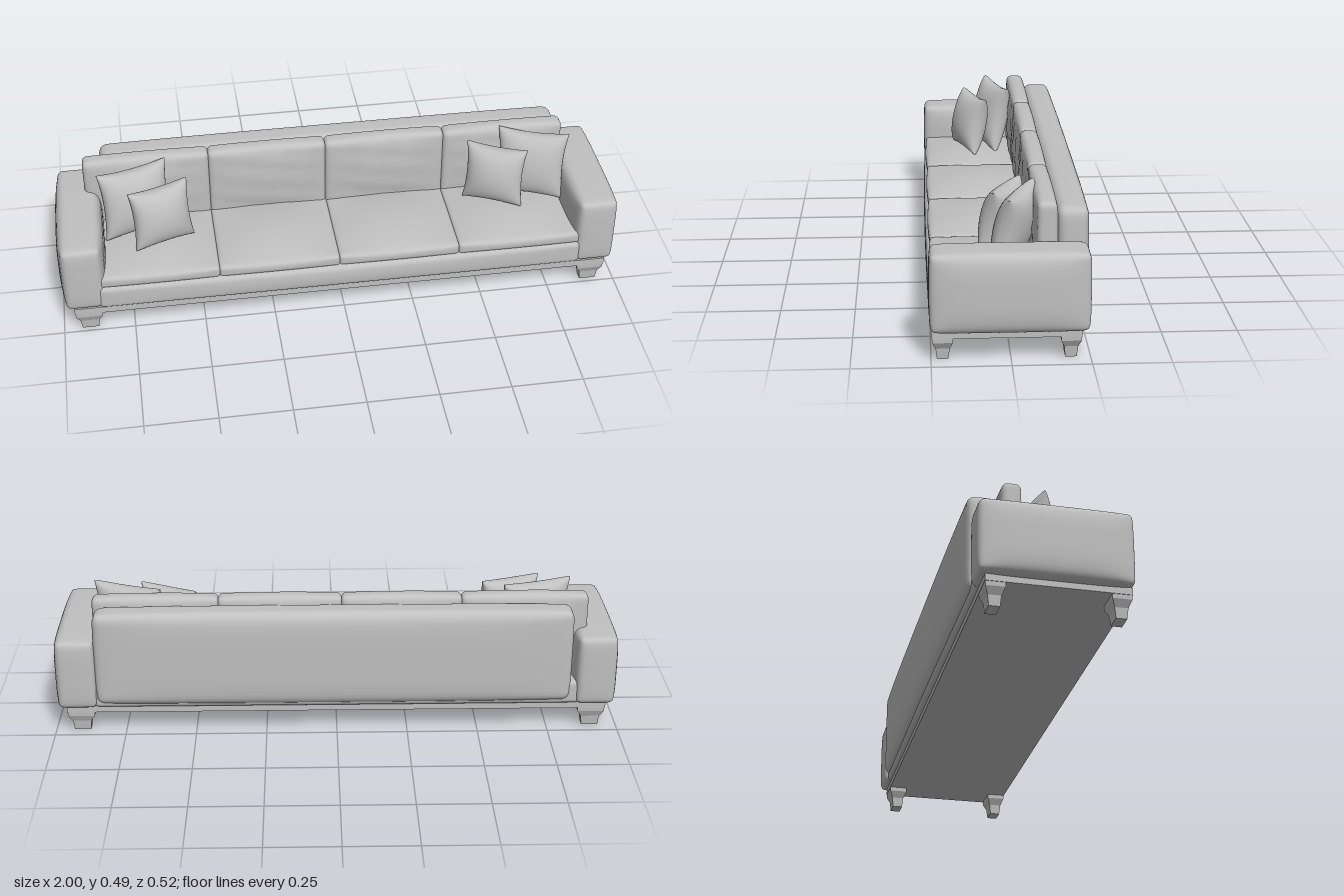
import * as THREE from 'three';
import { mergeVertices } from 'three/addons/utils/BufferGeometryUtils.js';

// Drop uv/normal, weld the seams and make smooth normals
function smooth(geo) {
  geo.deleteAttribute('uv');
  geo.deleteAttribute('normal');
  const g = mergeVertices(geo, 1e-5);
  g.computeVertexNormals();
  return g;
}

// Padded block between two corners: rounded edges of radius r, faces swollen by bulge [x, y, z].
// A higher power keeps the swelling flat until close to the edges.
function paddedBox(min, max, r, bulge, power = 2, wrinkle = null) {
  const half = min.map((m, i) => (max[i] - m) / 2);
  const geo = new THREE.BoxGeometry(2, 2, 2, 24, 20, 20);
  const pos = geo.attributes.position;
  for (let i = 0; i < pos.count; i++) {
    // crowd the grid lines towards the edges
    const u = [pos.getX(i), pos.getY(i), pos.getZ(i)].map((t) => Math.sign(t) * (1 - (1 - Math.abs(t)) ** 2));
    const core = u.map((t, k) => THREE.MathUtils.clamp(t * half[k], r - half[k], half[k] - r));
    const d = u.map((t, k) => t * half[k] - core[k]);
    const len = Math.hypot(...d) || 1;
    const p = core.map((c, k) => c + (d[k] / len) * r);
    const n = p.map((c, k) => c / half[k]);
    const fade = n.map((t) => 1 - Math.abs(t) ** power);
    const q = p.map((c, k) => c + bulge[k] * n[k] * fade[(k + 1) % 3] * fade[(k + 2) % 3]);
    if (wrinkle !== null && n[2] > 0.9) {
      q[2] += 0.006 * fade[0] * fade[1]
        * Math.sin(7 * n[0] + 5 * n[1] + wrinkle) * Math.sin(4 * n[0] - 6 * n[1] + 2 * wrinkle);
    }
    pos.setXYZ(i, ...q);
  }
  geo.translate(...min.map((m, i) => (m + max[i]) / 2));
  return smooth(geo);
}

// Square scatter pillow with pinched corners
function pillowGeometry(size, thickness) {
  const geo = new THREE.BoxGeometry(2, 2, 2, 24, 24, 1);
  const pos = geo.attributes.position;
  for (let i = 0; i < pos.count; i++) {
    const u = Math.sin(pos.getX(i) * Math.PI / 2), v = Math.sin(pos.getY(i) * Math.PI / 2);
    const swell = ((1 - u * u) * (1 - v * v)) ** 0.42;
    pos.setXYZ(i,
      u * size / 2 * (1 - 0.1 * (1 - v * v)),
      v * size / 2 * (1 - 0.1 * (1 - u * u)),
      pos.getZ(i) * (0.002 + thickness / 2 * swell));
  }
  return smooth(geo);
}

// Four-sided frustum from y0 (half sizes a) to y1 (half sizes b)
function frustum(y0, a, y1, b) {
  const geo = new THREE.BoxGeometry(2, 1, 2);
  const pos = geo.attributes.position;
  for (let i = 0; i < pos.count; i++) {
    const top = pos.getY(i) > 0, s = top ? b : a;
    pos.setXYZ(i, pos.getX(i) * s[0], top ? y1 : y0, pos.getZ(i) * s[1]);
  }
  geo.computeVertexNormals();
  return geo;
}

export function createModel() {
  const group = new THREE.Group();
  group.name = 'sofa';
  const fabric = new THREE.MeshStandardMaterial({ color: 0xc0c0c0 });
  fabric.name = 'light grey fabric';
  const add = (name, geo, parent = group) => {
    const mesh = new THREE.Mesh(geo, fabric);
    mesh.name = name;
    parent.add(mesh);
    return mesh;
  };

  // Base board and upholstered seat deck
  const board = new THREE.BoxGeometry(1.914, 0.025, 0.469);
  board.translate(0, 0.0875, 0.0125);
  add('baseBoard', board);
  add('seatDeck', paddedBox([-0.868, 0.097, -0.235], [0.862, 0.187, 0.255], 0.018, [0, 0, 0.007]));

  // Arms, swollen on their long sides
  for (const [name, x0, x1] of [['rightArm', -0.982, -0.849], ['leftArm', 0.849, 0.982]]) {
    add(name, paddedBox([x0, 0.1, -0.243], [x1, 0.354, 0.25], 0.018, [0.018, 0.005, 0.006], 4));
  }

  // Backrest
  add('backrest', paddedBox([-0.822, 0.115, -0.25], [0.845, 0.458, -0.15], 0.028, [0.005, 0.006, 0.012], 4));

  // Four seat cushions and four back cushions
  const seatEdges = [-0.868, -0.44, -0.015, 0.415, 0.862];
  const backEdges = [-0.885, -0.44, -0.018, 0.415, 0.855];
  for (let i = 0; i < 4; i++) {
    add('seatCushion', paddedBox([seatEdges[i] - 0.001, 0.183, -0.12], [seatEdges[i + 1] + 0.001, 0.226, 0.246],
      0.012, [0, 0.024, 0.006]));
    add('backCushion', paddedBox([backEdges[i] - 0.002, 0.2, -0.15], [backEdges[i + 1] + 0.002, 0.479, -0.086],
      0.02, [0, 0.006, 0.012], 2, i));
  }

  // Scatter pillows: x, y, z, size, turn
  const pillows = [
    [-0.71, 0.364, -0.012, 0.256, 0.3],
    [-0.625, 0.355, 0.075, 0.222, 0.34],
    [0.587, 0.355, 0.015, 0.222, -0.45],
    [0.73, 0.364, -0.02, 0.256, -0.36],
  ];
  for (const [x, y, z, size, turn] of pillows) {
    const pillow = add('scatterPillow', pillowGeometry(size, 0.112));
    pillow.position.set(x, y, z);
    pillow.rotation.set(-0.2, turn, 0, 'YXZ');
  }

  // Stepped, tapering legs: y and half sizes from the bottom up
  const rings = [[0, 0.029, 0.018], [0.036, 0.033, 0.022], [0.06, 0.047, 0.032], [0.097, 0.049, 0.0335]];
  for (const x of [-0.907, 0.907]) {
    for (const z of [0.2135, -0.1885]) {
      const leg = new THREE.Group();
      leg.name = 'leg';
      leg.position.set(x, 0, z);
      for (let i = 0; i < 3; i++) {
        const [y0, ...a] = rings[i], [y1, ...b] = rings[i + 1];
        add('legSection', frustum(y0, a, y1, b), leg);
      }
      group.add(leg);
    }
  }
  return group;
}
